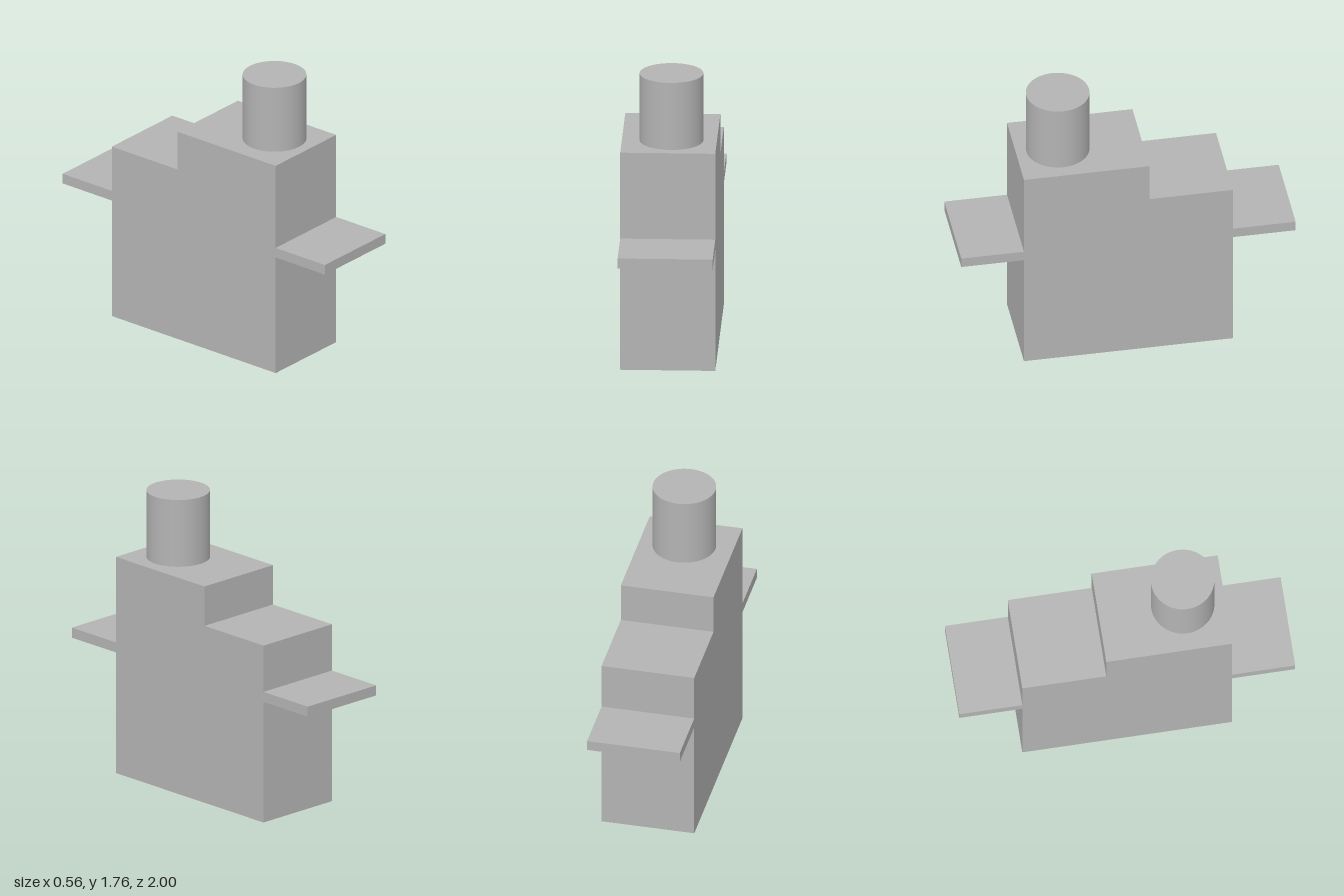
import * as THREE from 'three';

const WIDTH = 0.56;

export function createModel() {
  const model = new THREE.Group();
  model.name = 'steppedBlock';
  const grey = new THREE.MeshStandardMaterial({ color: 0xb3b3b3 });
  grey.name = 'grey';

  // Body and both ledges share one side profile, listed as (z, y)
  const profile = new THREE.Shape([
    [-0.625, 0], [0.625, 0],
    [0.625, 0.75], [1, 0.75], [1, 0.8125], [0.625, 0.8125], // front ledge
    [0.625, 1.345], [-0.125, 1.345], [-0.125, 1.1], [-0.625, 1.1], // step
    [-0.625, 0.8125], [-1, 0.8125], [-1, 0.75], [-0.625, 0.75], // back ledge
  ].map(([z, y]) => new THREE.Vector2(z, y)));
  const bodyGeometry = new THREE.ExtrudeGeometry(profile, { depth: WIDTH, bevelEnabled: false });
  bodyGeometry.translate(0, 0, -WIDTH / 2).rotateY(-Math.PI / 2);
  const body = new THREE.Mesh(bodyGeometry, grey);
  body.name = 'bodyWithLedges';
  model.add(body);

  // Round post, slightly off centre on the upper step
  const post = new THREE.Mesh(new THREE.CylinderGeometry(0.1875, 0.1875, 0.415, 64), grey);
  post.name = 'post';
  post.position.set(0.0125, 1.345 + 0.415 / 2, 0.375);
  model.add(post);

  return model;
}
